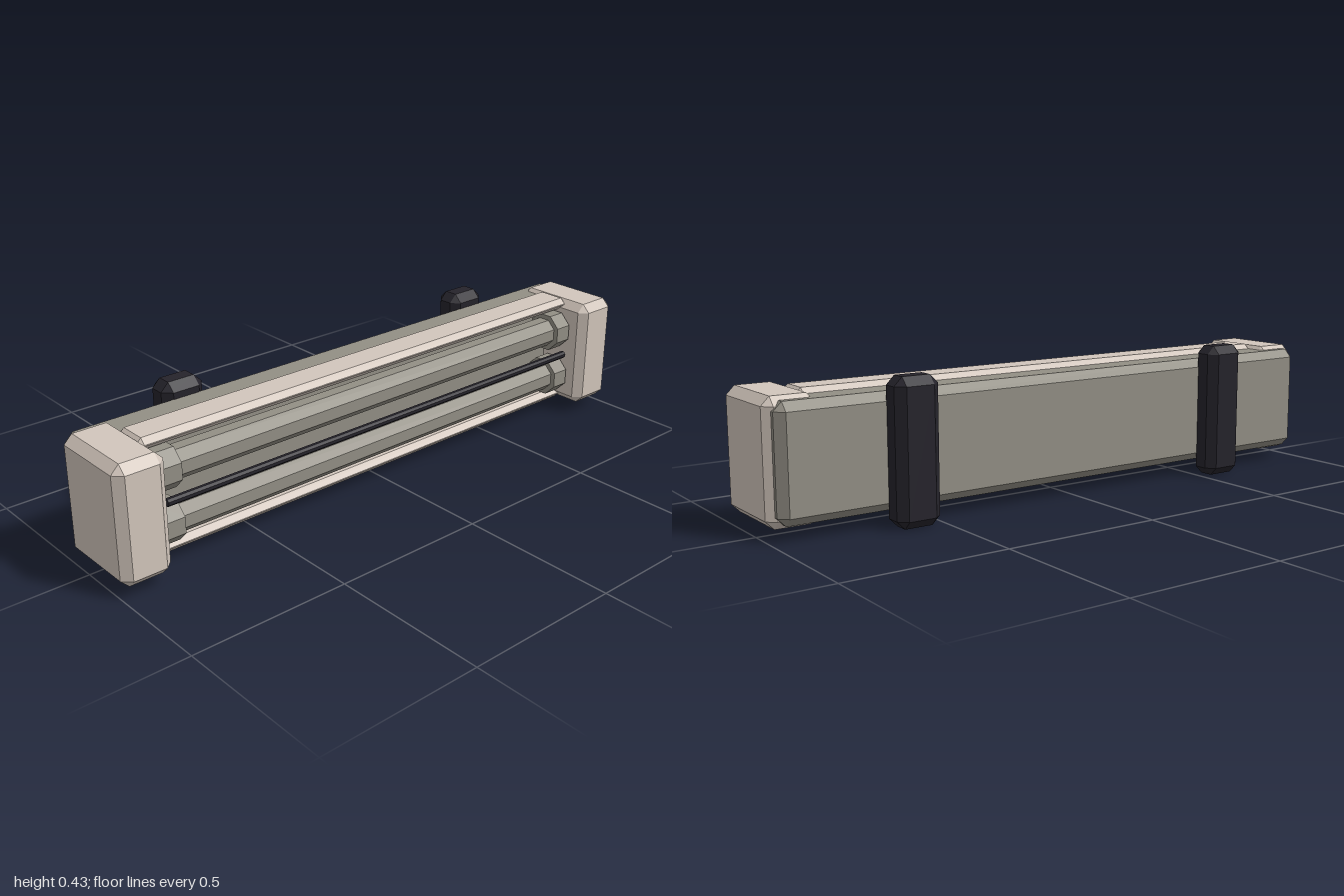
import * as THREE from 'three';
import { ConvexGeometry } from 'three/addons/geometries/ConvexGeometry.js';

const material = (color) => new THREE.MeshStandardMaterial({ color, flatShading: true });

// Box given by its limits, with every edge chamfered by c
function chamferBox([x0, x1], [y0, y1], [z0, z1], c) {
  const h = [(x1 - x0) / 2, (y1 - y0) / 2, (z1 - z0) / 2];
  const points = [];
  for (const sx of [-1, 1]) for (const sy of [-1, 1]) for (const sz of [-1, 1])
    for (let k = 0; k < 3; k++) {
      const [a, b, d] = h.map((v, i) => (i === k ? v : v - c));
      points.push(new THREE.Vector3(sx * a, sy * b, sz * d));
    }
  return new ConvexGeometry(points).translate((x0 + x1) / 2, (y0 + y1) / 2, (z0 + z1) / 2);
}

// Octagonal bar along z with a flat side facing +x
function octBar(r, length, x, y, z = 0) {
  return new THREE.CylinderGeometry(r, r, length, 8)
    .rotateY(Math.PI / 8).rotateX(Math.PI / 2).translate(x, y, z);
}

export function createModel() {
  const group = new THREE.Group();
  const cream = material(0xd2c6bc);
  const grey = material(0x938f85);
  const dark = material(0x25232b);
  const add = (name, geometry, mat) => {
    const mesh = new THREE.Mesh(geometry, mat);
    mesh.name = name;
    group.add(mesh);
  };
  const midY = 0.217;

  // Housing behind the tubes
  add('backPlate', chamferBox([-0.128, 0.03], [0.045, 0.388], [-0.98, 0.98], 0.026), grey);

  // Rods between the end caps
  add('centreRod', octBar(0.0125, 1.64, 0.135, midY), dark);

  for (const s of [-1, 1]) {
    const end = s > 0 ? 'front' : 'back';
    const level = s > 0 ? 'upper' : 'lower';

    // End caps
    const z = [0.842, 1].map((v) => v * s).sort((a, b) => a - b);
    add(end + 'EndCap', chamferBox([-0.095, 0.197], [0.033, 0.4], z, 0.026), cream);

    // Rails above and below the tubes
    const y = [0.15, 0.187].map((v) => midY + v * s).sort((a, b) => a - b);
    add(level + 'Rail', chamferBox([-0.02, 0.1], y, [-0.87, 0.87], 0.017), cream);

    // Tubes with a socket at each end
    const tubeY = midY + 0.083 * s;
    add(level + 'Tube', octBar(0.05, 1.62, 0.083, tubeY), grey);
    for (const e of [-1, 1])
      add(level + 'TubeSocket', octBar(0.067, 0.06, 0.084, tubeY, 0.8 * e), grey);

    // Mounting brackets on the back
    add(end + 'Bracket',
      chamferBox([-0.197, -0.1], [0, 0.434], [0.585 * s - 0.07, 0.585 * s + 0.07], 0.026), dark);
  }
  return group;
}
